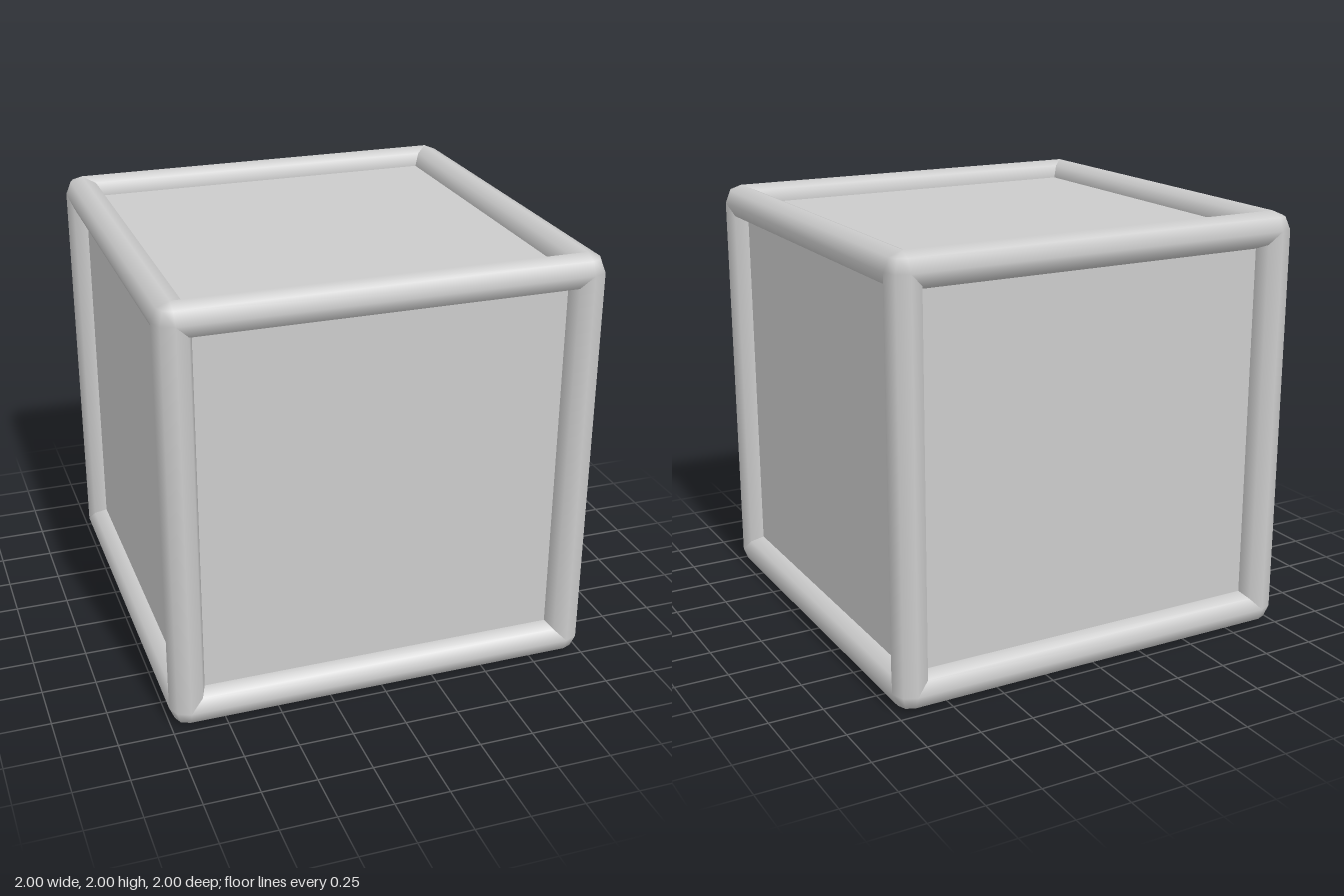
import * as THREE from 'three';

const R = 0.083;      // radius of the frame bars
const C = 1 - R;      // distance of bar centre lines and panels from the middle

export function createModel() {
  const model = new THREE.Group();
  const material = new THREE.MeshStandardMaterial({ color: 0xcccccc });

  const add = (name, geometry, x, y, z) => {
    const mesh = new THREE.Mesh(geometry, material);
    mesh.name = name;
    mesh.position.set(x, y + 1, z);
    model.add(mesh);
    return mesh;
  };

  // Flat panels on all six sides, set at the depth of the bar centres
  add('panels', new THREE.BoxGeometry(2 * C, 2 * C, 2 * C), 0, 0, 0);

  // Twelve round bars along the edges, four per direction
  const bar = new THREE.CylinderGeometry(R, R, 2 * C, 8, 1, true);
  for (const a of [-C, C]) {
    for (const b of [-C, C]) {
      add('uprightBar', bar, a, 0, b);
      add('crossBar', bar, 0, a, b).rotation.z = Math.PI / 2;
      add('depthBar', bar, a, b, 0).rotation.x = Math.PI / 2;
    }
  }

  // Rounded joints at the eight corners
  const joint = new THREE.SphereGeometry(R, 8, 4);
  for (const x of [-C, C])
    for (const y of [-C, C])
      for (const z of [-C, C]) add('cornerJoint', joint, x, y, z);

  return model;
}
